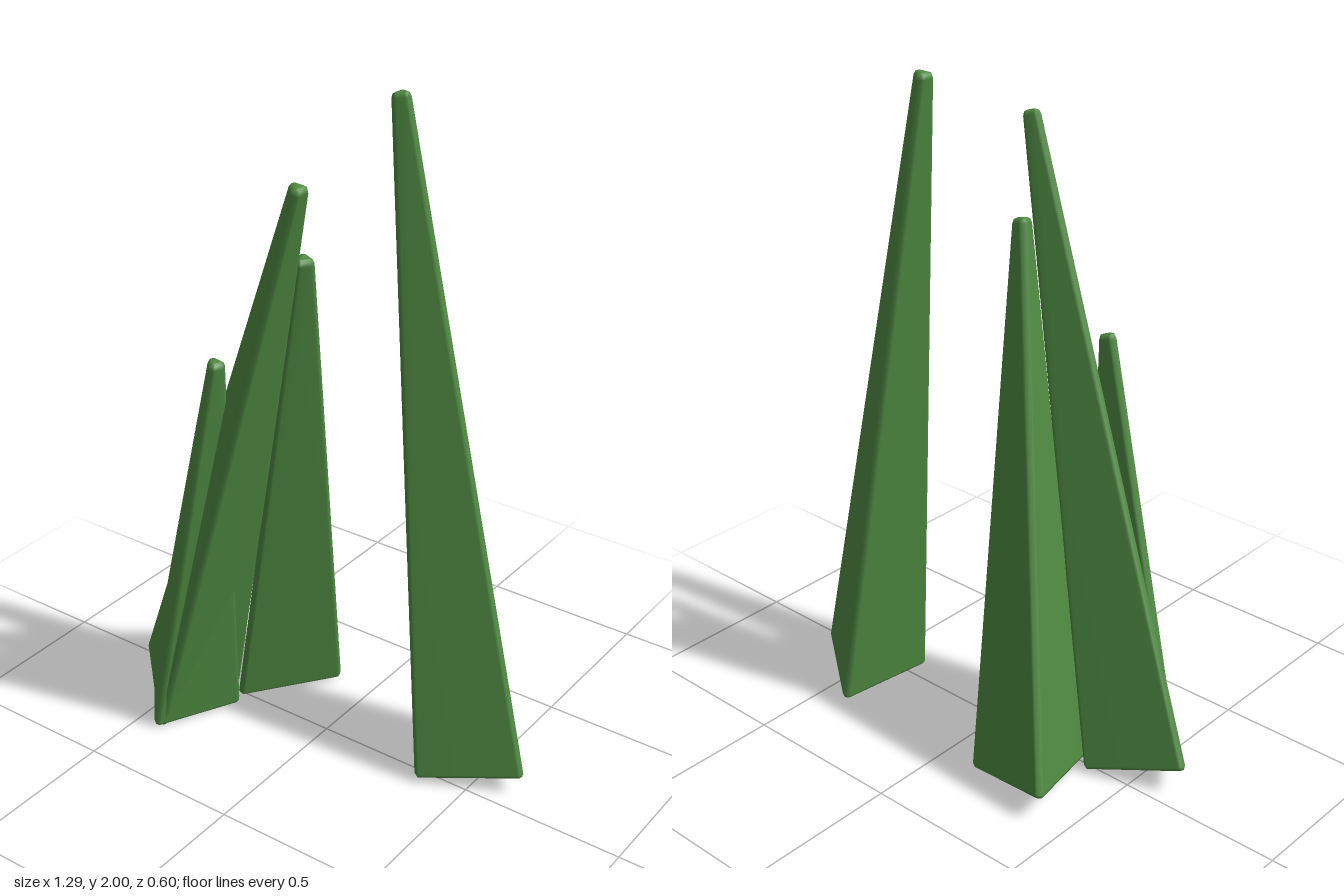
import * as THREE from 'three';

const R = 0.015;         // edge rounding
const TIP_SCALE = 0.08;  // tip triangle relative to base triangle
const ARC = 3;           // segments per rounded corner

// Tapered three-sided blade with rounded edges, from three base corners to a tip
function bladeGeometry(corners, tipPoint) {
  const c = corners.map((p) => new THREE.Vector3(...p));
  const turn = c[1].clone().sub(c[0]).cross(c[2].clone().sub(c[0]));
  if (turn.y < 0) c.reverse();
  const middle = c[0].clone().add(c[1]).add(c[2]).divideScalar(3);
  const tip = new THREE.Vector3(...tipPoint);
  const axis = tip.clone().sub(middle).normalize();

  // Rounding centres at the base and at the tip
  const offsets = c.map((p) => {
    const o = p.clone().sub(middle);
    return o.setLength(o.length() - R);
  });
  const base = offsets.map((o) => middle.clone().add(o).addScaledVector(axis, R));
  const top = offsets.map((o) => tip.clone().addScaledVector(o, TIP_SCALE).addScaledVector(axis, -R));
  const sides = c.map((p, i) => c[(i + 1) % 3].clone().sub(p).cross(axis).normalize());

  const positions = [];
  const index = [];
  const levels = [
    [base, -90], [base, -45], [base, 0],
    [top, 0], [top, 45], [top, 90],
  ];
  const n = 3 * (ARC + 1);
  // At the poles the ring collapses onto the rounding centres
  for (const [centres, degrees] of levels) {
    const a = THREE.MathUtils.degToRad(degrees);
    for (let i = 0; i < 3; i++) {
      for (let s = 0; s <= ARC; s++) {
        const out = sides[(i + 2) % 3].clone().lerp(sides[i], s / ARC).normalize();
        const p = centres[i].clone()
          .addScaledVector(out, R * Math.cos(a))
          .addScaledVector(axis, R * Math.sin(a));
        positions.push(p.x, p.y, p.z);
      }
    }
  }
  for (let k = 0; k < levels.length - 1; k++) {
    for (let j = 0; j < n; j++) {
      const a = k * n + j;
      const b = k * n + (j + 1) % n;
      index.push(a, b, b + n, a, b + n, a + n);
    }
  }
  // Flat end caps
  const last = (levels.length - 1) * n;
  for (let j = 1; j < n - 1; j++) {
    index.push(0, j + 1, j);
    index.push(last, last + j, last + j + 1);
  }

  const geometry = new THREE.BufferGeometry();
  geometry.setAttribute('position', new THREE.Float32BufferAttribute(positions, 3));
  geometry.setIndex(index);
  geometry.computeVertexNormals();
  return geometry;
}

export function createModel() {
  const group = new THREE.Group();
  group.name = 'grassTuft';
  const green = new THREE.MeshStandardMaterial({ color: 0x4f8a42 });
  green.name = 'grassGreen';

  const blades = [
    { name: 'tallBlade', tip: [0.145, 2.0, -0.125],
      corners: [[0.36, 0.015, 0.055], [0.645, 0.06, -0.075], [0.4, 0.015, -0.255]] },
    { name: 'backBlade', tip: [0.0, 1.58, 0.1],
      corners: [[-0.425, 0.08, -0.3], [-0.12, 0.01, -0.24], [-0.32, 0.005, 0.02]] },
    { name: 'leaningBlade', tip: [0.085, 1.835, 0.235],
      corners: [[-0.65, 0.085, 0.065], [-0.37, 0.01, -0.035], [-0.42, 0, 0.285]] },
    { name: 'shortBlade', tip: [-0.215, 1.265, 0.215],
      corners: [[-0.6, 0.085, 0.09], [-0.3, 0.005, 0.05], [-0.425, 0.005, 0.3]] },
  ];
  for (const { name, corners, tip } of blades) {
    const mesh = new THREE.Mesh(bladeGeometry(corners, tip), green);
    mesh.name = name;
    group.add(mesh);
  }
  return group;
}
